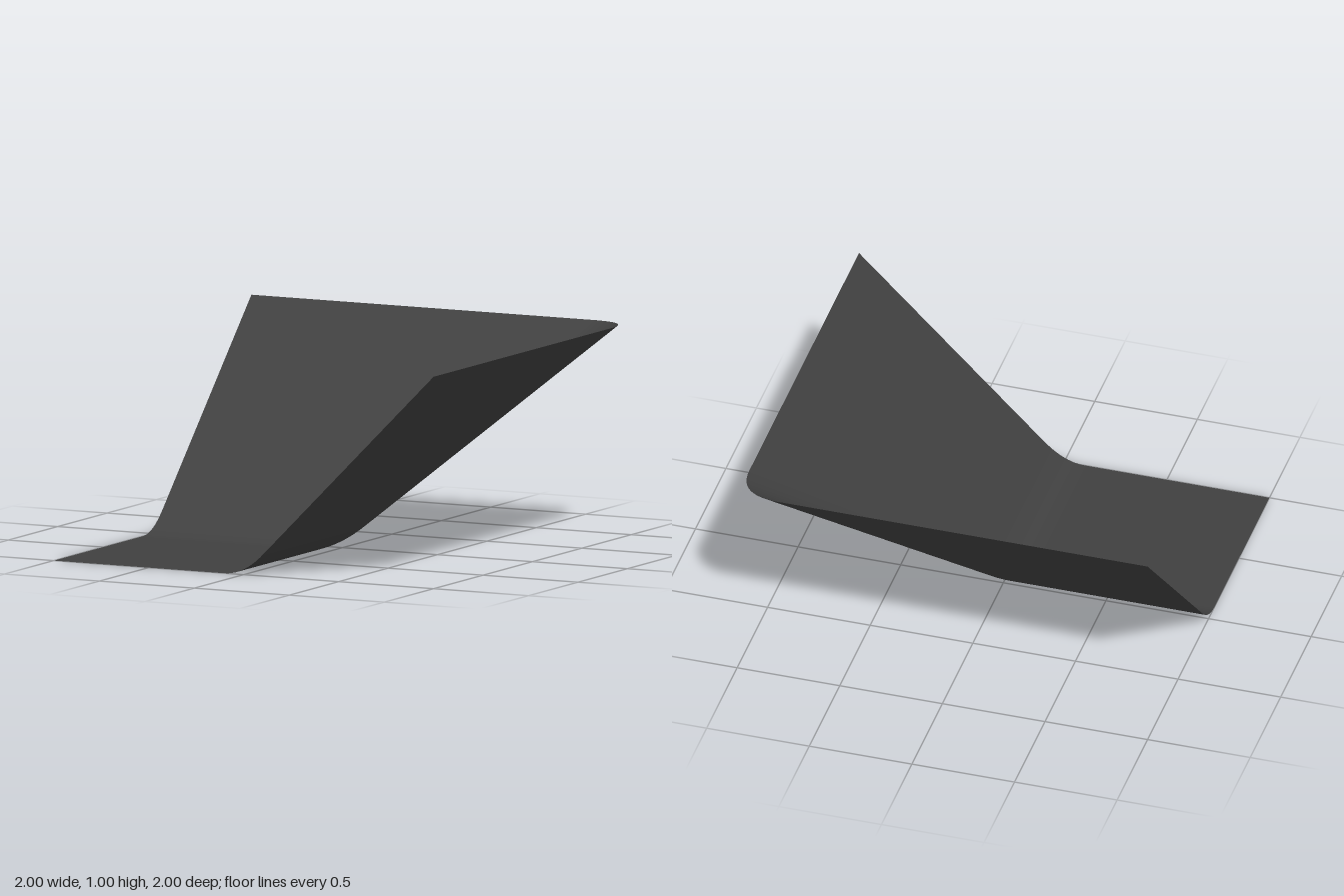
import * as THREE from 'three';

const BEND = 0.1; // half width of the rounded fold between floor and walls

// Height of the sheet: flat floor, rounded fold, then a 45 degree slope
function foldHeight(m) {
  if (m <= -BEND) return 0;
  return m < BEND ? (m + BEND) ** 2 / (4 * BEND) : m;
}

// Inward shift that rounds the corner where the walls meet, wider towards the rim
function cornerInset(m, d) {
  const k = 0.1 * Math.min(m + 1, 1) + 0.1 * Math.max(m, 0);
  return d < k ? (k - d) ** 2 / (4 * k) : 0;
}

export function createModel() {
  const group = new THREE.Group();
  group.name = 'cornerBackdrop';

  // One sheet: floor at front right, one wall sloping to the left, one to the back
  const geometry = new THREE.PlaneGeometry(2, 2, 96, 96);
  const pos = geometry.attributes.position;
  for (let i = 0; i < pos.count; i++) {
    const u = pos.getX(i), v = pos.getY(i);
    const m = Math.max(u, v);
    const inset = cornerInset(m, Math.abs(u - v));
    pos.setXYZ(i, u - inset, foldHeight(m), -(v - inset));
  }
  geometry.computeVertexNormals();

  const material = new THREE.MeshStandardMaterial({ color: 0x404040, side: THREE.DoubleSide });
  const sheet = new THREE.Mesh(geometry, material);
  sheet.name = 'foldedSheet';
  group.add(sheet);
  return group;
}
